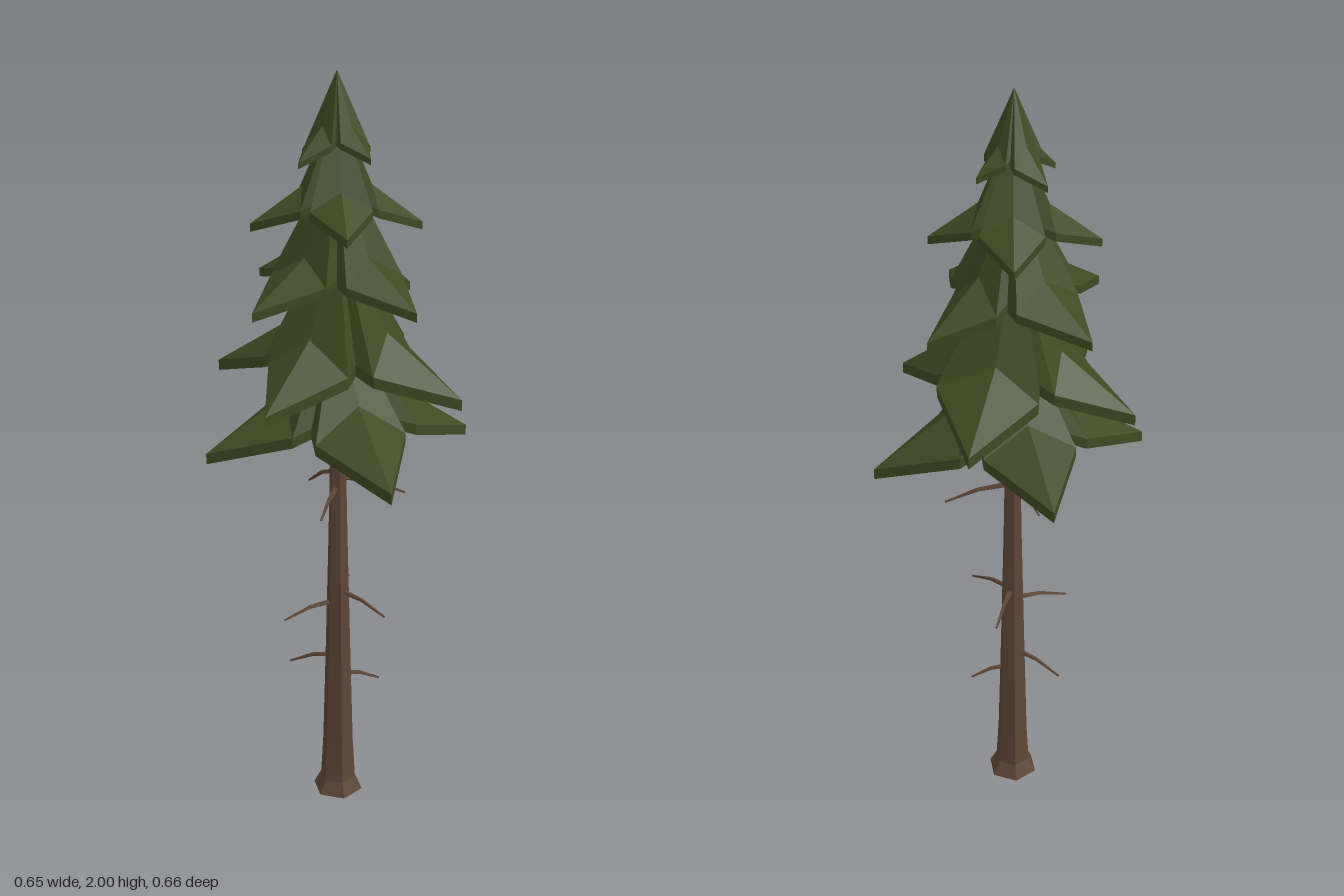
import * as THREE from 'three';

const V = (x, y, z) => new THREE.Vector3(x, y, z);

// Faceted normals for low-poly parts
function faceted(geo) {
  const g = geo.index ? geo.toNonIndexed() : geo;
  g.computeVertexNormals();
  return g;
}

// Foliage tier: drooping, ridged kite-shaped leaves joined into a thick star
function tierGeometry({ top, mid, thick, tips }) {
  const pts = [];
  const apex = V(0.007, top, 0.01);
  const down = (p) => p.clone().add(V(0, -thick, 0));
  const tri = (flip, a, b, c) => pts.push(a, ...(flip ? [c, b] : [b, c]));
  const polar = (a, r, y) => V(Math.cos(a) * r, y, Math.sin(a) * r);
  const leaves = tips
    .map(([x, y, z]) => ({ a: Math.atan2(z, x), r: Math.hypot(x, z), y }))
    .sort((p, q) => p.a - q.a);
  const n = leaves.length;

  leaves.forEach((leaf, i) => {
    const tip = polar(leaf.a, leaf.r, leaf.y);
    const ridge = polar(leaf.a, leaf.r * 0.4, mid);
    for (const side of [1, -1]) {
      const next = leaves[(i + side + n) % n];
      const gap = ((next.a - leaf.a) * side + Math.PI * 2) % (Math.PI * 2);
      const valley = polar(leaf.a + side * gap / 2, (leaf.r + next.r) * 0.22,
        THREE.MathUtils.lerp((leaf.y + next.y) / 2, mid, 0.6));
      const shoulder = polar(leaf.a + side * gap * 0.4, leaf.r * 0.57,
        THREE.MathUtils.lerp(leaf.y, mid, 0.47));
      const flip = side < 0;
      // upper surface and its lowered underside
      for (const [a, b, c] of [[apex, shoulder, ridge], [apex, valley, shoulder], [ridge, shoulder, tip]]) {
        tri(flip, a, b, c);
        tri(!flip, down(a), down(b), down(c));
      }
      // rim
      for (const [p, q] of [[shoulder, tip], [valley, shoulder]]) {
        tri(flip, p, down(p), down(q));
        tri(flip, p, down(q), q);
      }
    }
  });
  return faceted(new THREE.BufferGeometry().setFromPoints(pts));
}

// Bare twig: tapered, slightly arched, running along +z
function twigGeometry(length) {
  const g = new THREE.CylinderGeometry(0.003, 0.008, length, 5, 2);
  g.translate(0, length / 2, 0).rotateX(Math.PI / 2);
  const p = g.attributes.position;
  for (let i = 0; i < p.count; i++) {
    if (Math.abs(p.getZ(i) - length / 2) < 1e-4) p.setY(i, p.getY(i) + 0.01);
  }
  return faceted(g);
}

export function createModel() {
  const tree = new THREE.Group();
  tree.name = 'pineTree';
  const foliage = new THREE.MeshStandardMaterial({ color: 0x3f4a22 });
  foliage.name = 'pineGreen';
  const bark = new THREE.MeshStandardMaterial({ color: 0x5e4636 });
  bark.name = 'barkBrown';

  const add = (name, geo, mat) => {
    const mesh = new THREE.Mesh(geo, mat);
    mesh.name = name;
    tree.add(mesh);
    return mesh;
  };

  // Hexagonal trunk with a flared foot
  const profile = [[0, 0], [0.07, 0], [0.05, 0.04], [0.043, 0.16], [0.035, 0.45],
    [0.026, 0.8], [0.02, 1.1], [0.01, 1.45], [0, 1.46]];
  add('trunk', faceted(new THREE.LatheGeometry(profile.map(([r, y]) => new THREE.Vector2(r, y)), 6)), bark);

  // Dead twigs: height on the trunk, then end point
  const twigs = [
    [0.43, -0.13, 0.38, 0.06], [0.37, 0.06, 0.34, -0.1],
    [0.63, 0.155, 0.6, -0.02], [0.6, -0.05, 0.575, 0.15], [0.64, -0.08, 0.6, -0.12],
    [0.98, -0.11, 0.92, 0], [0.965, 0.11, 0.91, -0.14], [0.94, 0.05, 0.89, 0.11],
  ];
  twigs.forEach(([y0, x, y, z], i) => {
    const start = V(0, y0, 0), end = V(x, y, z);
    const twig = add(`twig${i + 1}`, twigGeometry(start.distanceTo(end)), bark);
    twig.position.copy(start);
    twig.lookAt(end);
  });

  // Foliage tiers from the crown down, each with four leaf tips
  const tiers = [
    { top: 2, mid: 1.875, thick: 0.015,
      tips: [[-0.115, 1.8, 0.01], [0.125, 1.81, 0.015], [0.005, 1.8, 0.135], [0.01, 1.81, -0.1]] },
    { top: 1.93, mid: 1.73, thick: 0.02,
      tips: [[-0.173, 1.645, -0.135], [0.145, 1.64, -0.145], [0.178, 1.65, 0.145], [-0.13, 1.64, 0.17]] },
    { top: 1.82, mid: 1.57, thick: 0.022,
      tips: [[-0.282, 1.47, 0.01], [0.28, 1.47, 0.015], [0.008, 1.47, 0.29], [0.01, 1.44, -0.252]] },
    { top: 1.65, mid: 1.375, thick: 0.028,
      tips: [[-0.302, 1.245, 0.14], [0.087, 1.24, 0.327], [0.317, 1.23, -0.115], [-0.224, 1.25, -0.311]] },
    { top: 1.45, mid: 1.21, thick: 0.028,
      tips: [[-0.326, 1.085, -0.137], [0.325, 1.06, 0.14], [-0.15, 1.075, 0.316], [0.15, 1.06, -0.33]] },
  ];
  tiers.forEach((tier, i) => add(`foliageTier${i + 1}`, tierGeometry(tier), foliage));

  return tree;
}
